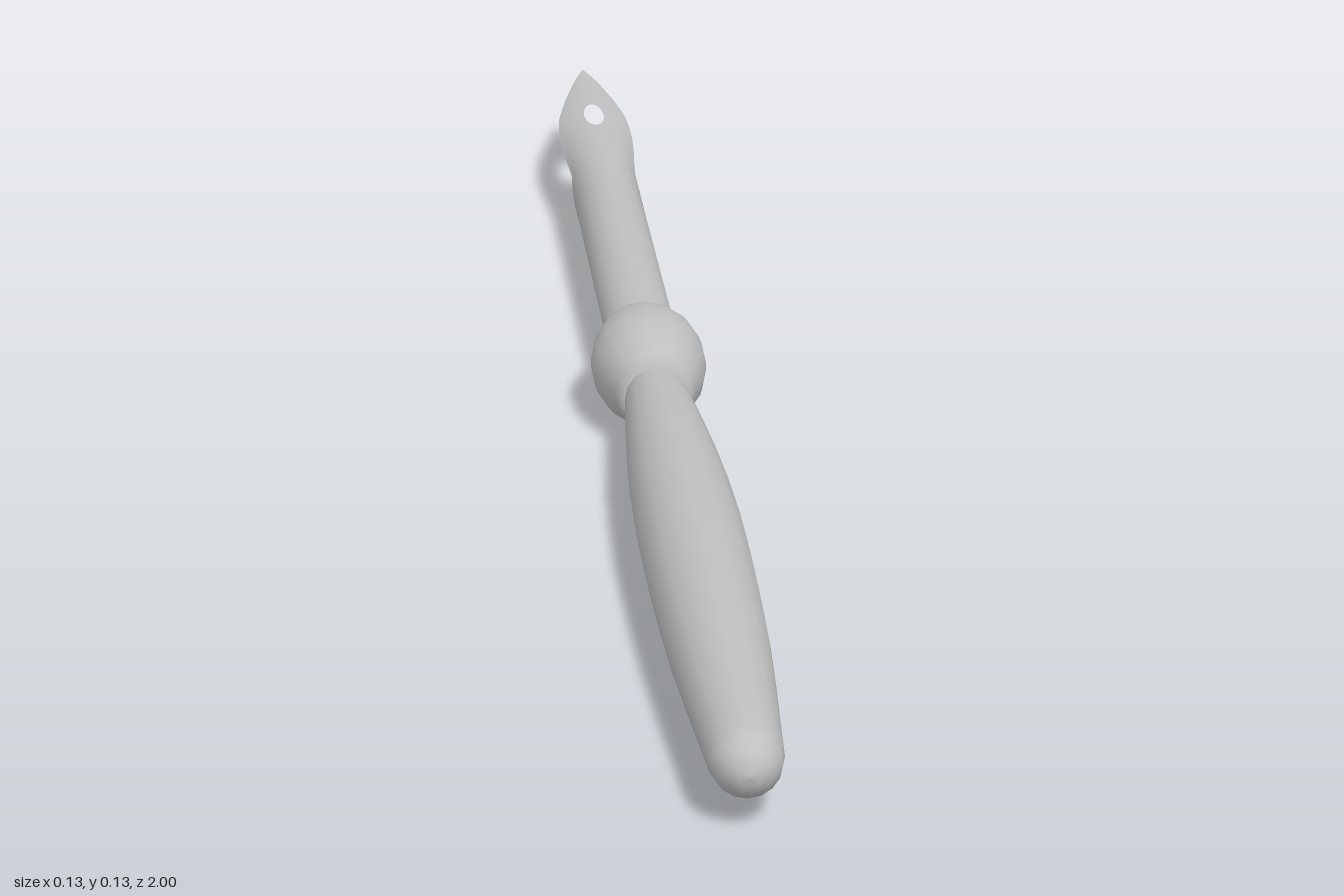
import * as THREE from 'three';
import { mergeVertices } from 'three/addons/utils/BufferGeometryUtils.js';

const AXIS = 0.0645; // height of the long axis
const SIDES = 16;

// Round part: profile of [z, radius], from back to front
function turned(name, profile, material) {
  const points = profile.map(([z, r]) => new THREE.Vector2(r, z));
  const geometry = new THREE.LatheGeometry(points, SIDES).rotateX(Math.PI / 2);
  const mesh = new THREE.Mesh(geometry, material);
  mesh.name = name;
  mesh.position.y = AXIS;
  return mesh;
}

// Linear lookup of [radius, depth] along the shank
function lookup(stations, z) {
  let i = 0;
  while (i < stations.length - 2 && z < stations[i + 1][0]) i++;
  const [a, b] = [stations[i], stations[i + 1]];
  const t = (z - a[0]) / (b[0] - a[0]);
  return [a[1] + (b[1] - a[1]) * t, a[2] + (b[2] - a[2]) * t];
}

// Thin hollow shank: each section is an arc hanging down from a straight top line
function shankGeometry() {
  const R = 0.04, top = AXIS + R;
  // z, arc radius, depth of the arc below the top line
  const stations = [
    [-0.17, R, 0.08], [-0.56, R, 0.08], [-0.595, R, 0.067], [-0.63, R, 0.051],
    [-0.66, R, 0.037], [-0.685, R, 0.029], [-0.72, 0.043, 0.028], [-0.76, 0.05, 0.025],
    [-0.8, 0.058, 0.0205], [-0.85, 0.069, 0.0135], [-0.9, 0.068, 0.007],
    [-0.95, 0.066, 0.002], [-0.975, 0.066, 0.0005], [-1, 0.066, 0],
  ];
  // Eye of the point: an oval centred on the top line
  const eye = { z: -0.827, length: 0.038, width: 0.012 };
  const zs = stations.map((s) => s[0]);
  for (let k = 0; k <= 10; k++) zs.push(eye.z + eye.length * Math.cos((k / 10) * Math.PI));
  zs.sort((a, b) => b - a);

  const positions = [], indices = [], cols = SIDES / 2;
  for (const side of [1, -1]) {
    const start = positions.length / 3;
    zs.forEach((z, i) => {
      const [r, depth] = lookup(stations, z);
      const outer = Math.acos(Math.max(-1, 1 - depth / r));
      const e = (z - eye.z) / eye.length;
      const inner = Math.asin((eye.width * Math.sqrt(Math.max(0, 1 - e * e))) / r);
      for (let j = 0; j <= cols; j++) {
        const angle = inner + ((outer - inner) * j) / cols;
        positions.push(side * r * Math.sin(angle), top - r + r * Math.cos(angle), z);
        if (i === zs.length - 1 || j === cols) continue;
        const a = start + i * (cols + 1) + j, b = a + 1, c = a + cols + 1, d = c + 1;
        if (side > 0) indices.push(a, b, c, b, d, c);
        else indices.push(a, c, b, b, c, d);
      }
    });
  }
  const geometry = new THREE.BufferGeometry();
  geometry.setAttribute('position', new THREE.Float32BufferAttribute(positions, 3));
  geometry.setIndex(indices);
  const merged = mergeVertices(geometry, 1e-5);
  merged.computeVertexNormals();
  return merged;
}

export function createModel() {
  const group = new THREE.Group();
  const grey = new THREE.MeshStandardMaterial({ color: 0xbfbfbf });
  grey.name = 'grey';
  const greySheet = new THREE.MeshStandardMaterial({ color: 0xbfbfbf, side: THREE.DoubleSide });
  greySheet.name = 'grey';

  // Long swelling grip with a rounded end
  group.add(turned('handle', [
    [-0.01, 0.033], [0.03, 0.036], [0.1, 0.042], [0.2, 0.049], [0.3, 0.054], [0.4, 0.0565],
    [0.5, 0.0565], [0.6, 0.055], [0.7, 0.052], [0.8, 0.047], [0.9, 0.041], [0.955, 0.038],
    [0.975, 0.034], [0.99, 0.024], [0.998, 0.012], [1, 0],
  ], grey));

  // Bulging collar between handle and shank
  const bead = [[-0.185, 0]];
  for (let k = 0; k <= 10; k++) {
    const t = k / 10;
    bead.push([-0.185 + 0.2 * t, 0.036 + 0.0285 * Math.sin(Math.PI * t)]);
  }
  bead.push([0.015, 0]);
  group.add(turned('collar', bead, grey));

  // Hollow shank, scooped out to a pointed tip with an eye
  const shank = new THREE.Mesh(shankGeometry(), greySheet);
  shank.name = 'shankAndPoint';
  group.add(shank);
  return group;
}
